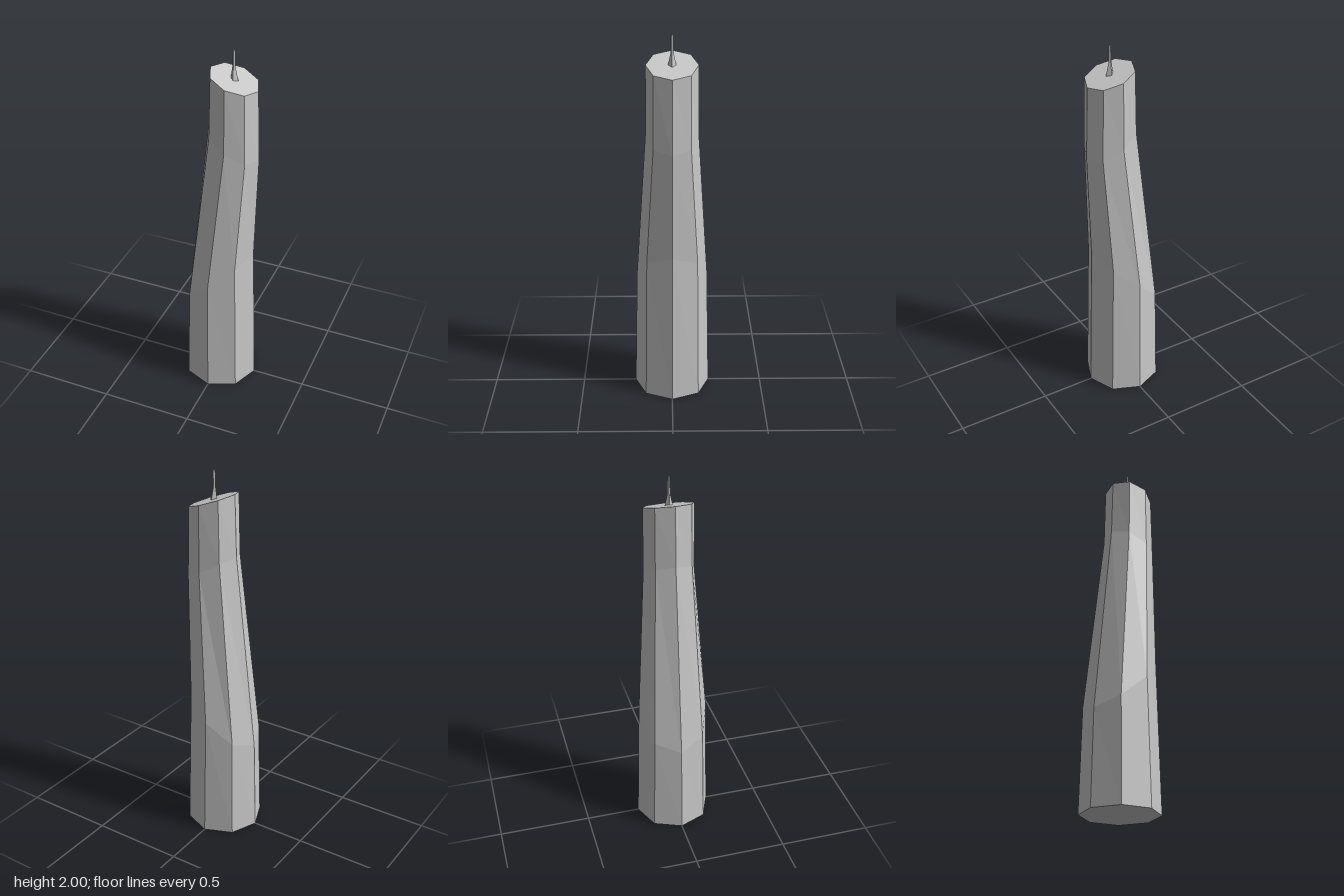
import * as THREE from 'three';

// Closed faceted column through rings { x, y, rx, rz, tilt }; tilt lifts the +x side
function column(rings, sides) {
  const pos = [];
  const point = (r, i) => {
    const a = (i / sides) * Math.PI * 2;
    return [r.x + r.rx * Math.cos(a), r.y + r.tilt * Math.cos(a), r.rz * Math.sin(a)];
  };
  const tri = (a, b, c) => pos.push(...a, ...b, ...c);
  const first = rings[0], last = rings[rings.length - 1];
  for (let i = 0; i < sides; i++) {
    for (let k = 0; k < rings.length - 1; k++) {
      const a = point(rings[k], i), b = point(rings[k], i + 1);
      const c = point(rings[k + 1], i + 1), d = point(rings[k + 1], i);
      tri(a, d, c);
      tri(a, c, b);
    }
    tri([first.x, first.y, 0], point(first, i), point(first, i + 1));
    tri([last.x, last.y, 0], point(last, i + 1), point(last, i));
  }
  const g = new THREE.BufferGeometry();
  g.setAttribute('position', new THREE.Float32BufferAttribute(pos, 3));
  g.computeVertexNormals();
  return g;
}

export function createModel() {
  const group = new THREE.Group();
  group.name = 'candle';
  const grey = new THREE.MeshStandardMaterial({ color: 0xc8c8c8 });
  grey.name = 'plain grey';
  grey.flatShading = true;

  // Bent, tapering eight-sided wax body with a slanted top
  const body = new THREE.Mesh(column([
    { x: 0, y: 0, rx: 0.206, rz: 0.206, tilt: 0 },
    { x: -0.003, y: 0.68, rx: 0.188, rz: 0.19, tilt: 0.17 },
    { x: 0.067, y: 1.5, rx: 0.136, rz: 0.135, tilt: -0.075 },
    { x: 0.067, y: 1.853, rx: 0.125, rz: 0.132, tilt: -0.043 },
  ], 8), grey);
  body.name = 'waxBody';

  // Thin four-sided wick, flared at its foot
  const wick = new THREE.Mesh(column([
    { x: 0.067, y: 1.846, rx: 0.021, rz: 0.022, tilt: 0 },
    { x: 0.064, y: 1.91, rx: 0.009, rz: 0.008, tilt: 0 },
    { x: 0.065, y: 2, rx: 0.007, rz: 0.007, tilt: 0 },
  ], 4), grey);
  wick.name = 'wick';

  group.add(body, wick);
  return group;
}
